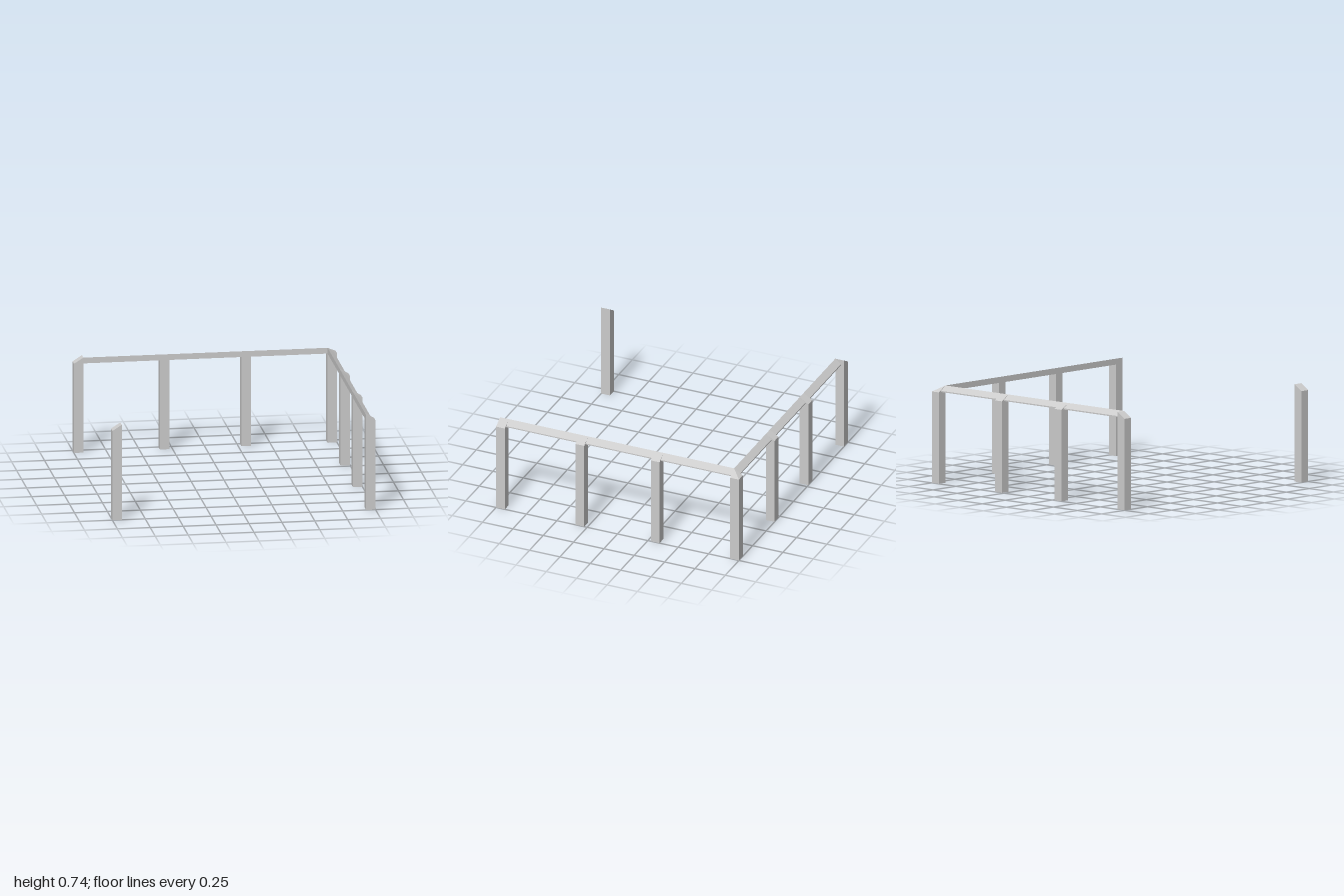
import * as THREE from 'three';

const W = 0.072;            // post thickness
const IN = 1 - W;           // inner face of the posts
const LOW = 0.695, HIGH = 0.74;

const material = new THREE.MeshStandardMaterial({ color: 0xcccccc, flatShading: true });

// Square post whose top falls towards the outside in x (dx) and/or z (dz)
function post(name, x, z, dx, dz) {
  const geo = new THREE.BoxGeometry(W, 1, W);
  const p = geo.attributes.position;
  for (let i = 0; i < p.count; i++) {
    const outer = p.getX(i) * dx > 0 || p.getZ(i) * dz > 0;
    p.setY(i, p.getY(i) < 0 ? 0 : outer ? LOW : HIGH);
  }
  geo.computeVertexNormals();
  const mesh = new THREE.Mesh(geo, material);
  mesh.name = name;
  mesh.position.set(x, 0, z);
  return mesh;
}

// Bevelled rail along z at the +x side
function rail(name) {
  const section = new THREE.Shape([
    new THREE.Vector2(IN, LOW),
    new THREE.Vector2(0.976, LOW),
    new THREE.Vector2(0.976, 0.704),
    new THREE.Vector2(IN, HIGH),
  ]);
  const geo = new THREE.ExtrudeGeometry(section, { depth: 2 * IN, bevelEnabled: false });
  geo.translate(0, 0, -IN);
  const mesh = new THREE.Mesh(geo, material);
  mesh.name = name;
  return mesh;
}

export function createModel() {
  const group = new THREE.Group();
  group.name = 'fence';
  const c = 1 - W / 2;

  // Corner posts; the one joining both rails has a hipped top
  group.add(post('cornerPost', c, -c, 1, -1));
  group.add(post('frontLeftPost', c, c, 1, 0));
  group.add(post('backRightPost', -c, -c, -1, 0));
  group.add(post('freePost', -c, c, -1, 0));

  // Middle posts
  for (const t of [-0.31, 0.31]) {
    group.add(post('sidePost', c, t, 1, 0));
    group.add(post('backPost', t, -c, 0, -1));
  }

  // Rails
  group.add(rail('sideRail'));
  const back = rail('backRail');
  back.rotation.y = Math.PI / 2;
  group.add(back);

  return group;
}
